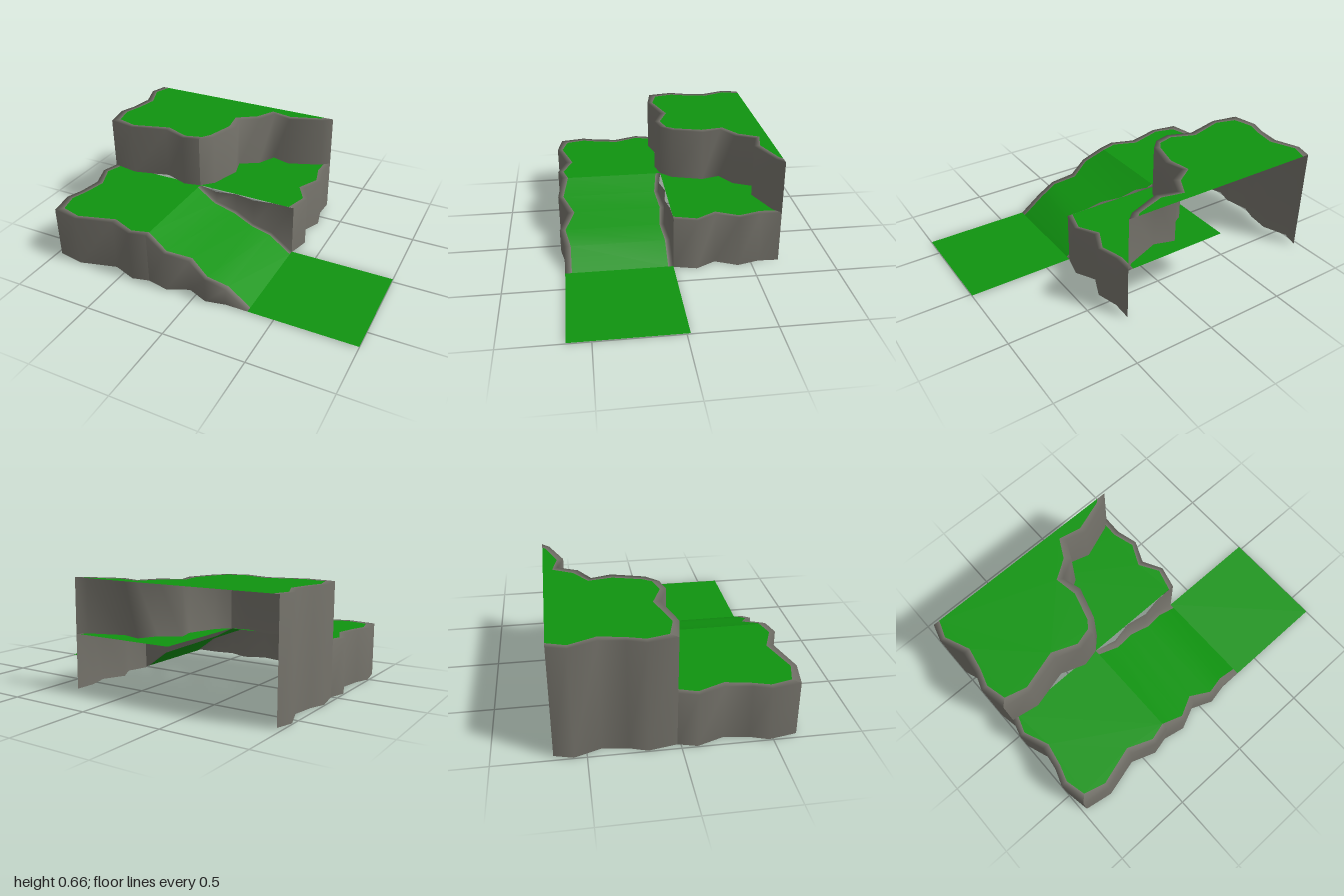
import * as THREE from 'three';

// Levels and tile grid
const BASE = 0.005, MID = 0.33, HIGH = 0.66;
const X0 = -0.97, X1 = -0.315, X2 = 0.34, X3 = 1.0;
const Z0 = -0.675, Z1 = -0.02, Z2 = 0.635;
const RIM = [0.04, 0.034, 0.042, 0.036, 0.04, 0.04];

export function createModel() {
  const group = new THREE.Group();
  const make = (name, hex) => {
    const m = new THREE.MeshStandardMaterial({ color: hex, side: THREE.DoubleSide });
    m.name = name;
    return m;
  };
  const grass = make('grass green', 0x109410);
  const rock = make('rock grey', 0x74726a);

  const add = (name, geometry, material) => {
    const mesh = new THREE.Mesh(geometry, material);
    mesh.name = name;
    group.add(mesh);
  };

  // Skin joining rows of [x, y, z] points, smooth across the rows
  function strip(name, rows, material) {
    const n = rows[0].length, index = [];
    for (let r = 0; r < rows.length - 1; r++) {
      for (let i = 0; i < n - 1; i++) {
        const a = r * n + i, b = a + n;
        index.push(a, b, a + 1, b, b + 1, a + 1);
      }
    }
    const g = new THREE.BufferGeometry();
    g.setAttribute('position', new THREE.Float32BufferAttribute(rows.flat(2), 3));
    g.setIndex(index);
    g.computeVertexNormals();
    add(name, g, material);
  }

  const lift = (pts, y) => pts.map(([x, z], i) => [x, Array.isArray(y) ? y[i] : y, z]);

  // Vertical rock face with a rocky rim along its top
  const cliff = (name, edge, top, bottom) =>
    strip(name, [lift(edge.inner, top), lift(edge.outer, top), lift(edge.outer, bottom)], rock);

  // Flat grass area from an [x, z] outline
  function lawn(name, pts, y) {
    const shape = new THREE.Shape(pts.map(([x, z]) => new THREE.Vector2(x, -z)));
    const g = new THREE.ShapeGeometry(shape);
    g.rotateX(-Math.PI / 2);
    g.translate(0, y, 0);
    add(name, g, grass);
  }

  // Ragged left edge of a tile, running back to front
  function leftEdge(z) {
    const outer = [[0, 0], [0.03, 0.105], [-0.025, 0.255], [-0.005, 0.395], [0.03, 0.495], [0, 0.655]]
      .map(([out, t]) => [X0 - out, z + t]);
    const inner = outer.map(([x, zz], i) => [x + RIM[i], i === 5 ? zz - 0.04 : zz]);
    return { outer, inner };
  }

  // Ragged front edge of a tile, running left to right
  function frontEdge(z) {
    const outer = [[X0, 0], [-0.80, 0.03], [-0.57, -0.03], [-0.42, 0.025], [X1, 0]]
      .map(([x, out]) => [x, z + out]);
    const inner = outer.map(([x, zz], i) => [i ? x : x + 0.04, zz - RIM[i === 4 ? 0 : i]]);
    inner[0][1] = z - 0.04;
    return { outer, inner };
  }

  // Front left plateau
  const midLeft = leftEdge(Z1), midFront = frontEdge(Z2);
  cliff('plateauLeftCliff', midLeft, MID, BASE);
  cliff('plateauFrontCliff', midFront, MID, BASE);
  lawn('plateauGrass', [...midLeft.inner, ...midFront.inner.slice(1), [X1, Z1]], MID);

  // Ramp down to the low ground
  const rampX = [X1, -0.18, -0.05, 0.08, 0.20, X2];
  const rampY = [MID, 0.26, 0.208, 0.158, 0.11, BASE];
  const rampFront = [0, 0.028, -0.03, 0.024, 0, 0];
  const rampBack = [0, 0.03, 0.002, 0.025, 0.002, 0];
  const rampOuter = rampX.map((x, i) => [x, Z2 + rampFront[i]]);
  const rampInner = rampOuter.map(([x, z], i) => [x, z - RIM[i]]);
  const wallFoot = rampX.map((x, i) => [x, Z1 + rampBack[i]]);
  const wallRim = wallFoot.map(([x, z], i) => [x, z + RIM[i] * 0.8]);
  cliff('rampFrontCliff', { outer: rampOuter, inner: rampInner }, rampY, BASE);
  strip('rampBackWall', [lift(wallFoot, MID), lift(wallFoot, rampY), lift(wallRim, rampY)], rock);
  strip('rampGrass', [lift(wallRim, rampY), lift(rampInner, rampY)], grass);

  // Low ground
  lawn('lowGrass', [[X2, Z1], [X2, Z2], [X3, Z2], [X3, Z1]], BASE);

  // Ledge beside the ramp, with a ragged right cliff running front to back
  const ledgeOuter = [[X2, Z1], [0.375, -0.16], [0.31, -0.28], [0.37, -0.415], [0.335, -0.55], [X2, Z0]];
  const ledgeInner = ledgeOuter.map(([x, z], i) => [x - RIM[i] * 0.85, z]);
  cliff('ledgeRightCliff', { outer: ledgeOuter, inner: ledgeInner }, MID, 0);
  lawn('ledgeGrass', [[X1, Z0], [X1, Z1], ...ledgeInner], MID);

  // High plateau, cut away diagonally above the ledge
  const highLeft = leftEdge(Z0), highFront = frontEdge(Z1);
  const inward = {
    outer: [[X1, Z1], [-0.245, -0.09], [-0.187, -0.283], [-0.22, -0.40], [-0.10, -0.47],
      [-0.043, -0.587], [0.08, -0.55], [0.29, -0.63], [X2, Z0]],
    inner: [[X1, -0.06], [-0.28, -0.11], [-0.232, -0.28], [-0.255, -0.42], [-0.135, -0.50],
      [-0.07, -0.62], [0.07, -0.59], [0.26, -0.655], [0.28, Z0]],
  };
  cliff('highLeftCliff', highLeft, HIGH, BASE);
  cliff('highFrontCliff', highFront, HIGH, MID);
  cliff('highDiagonalCliff', inward, HIGH, MID);
  lawn('highGrass', [...highLeft.inner, ...highFront.inner.slice(1), ...inward.inner.slice(1)], HIGH);

  return group;
}
